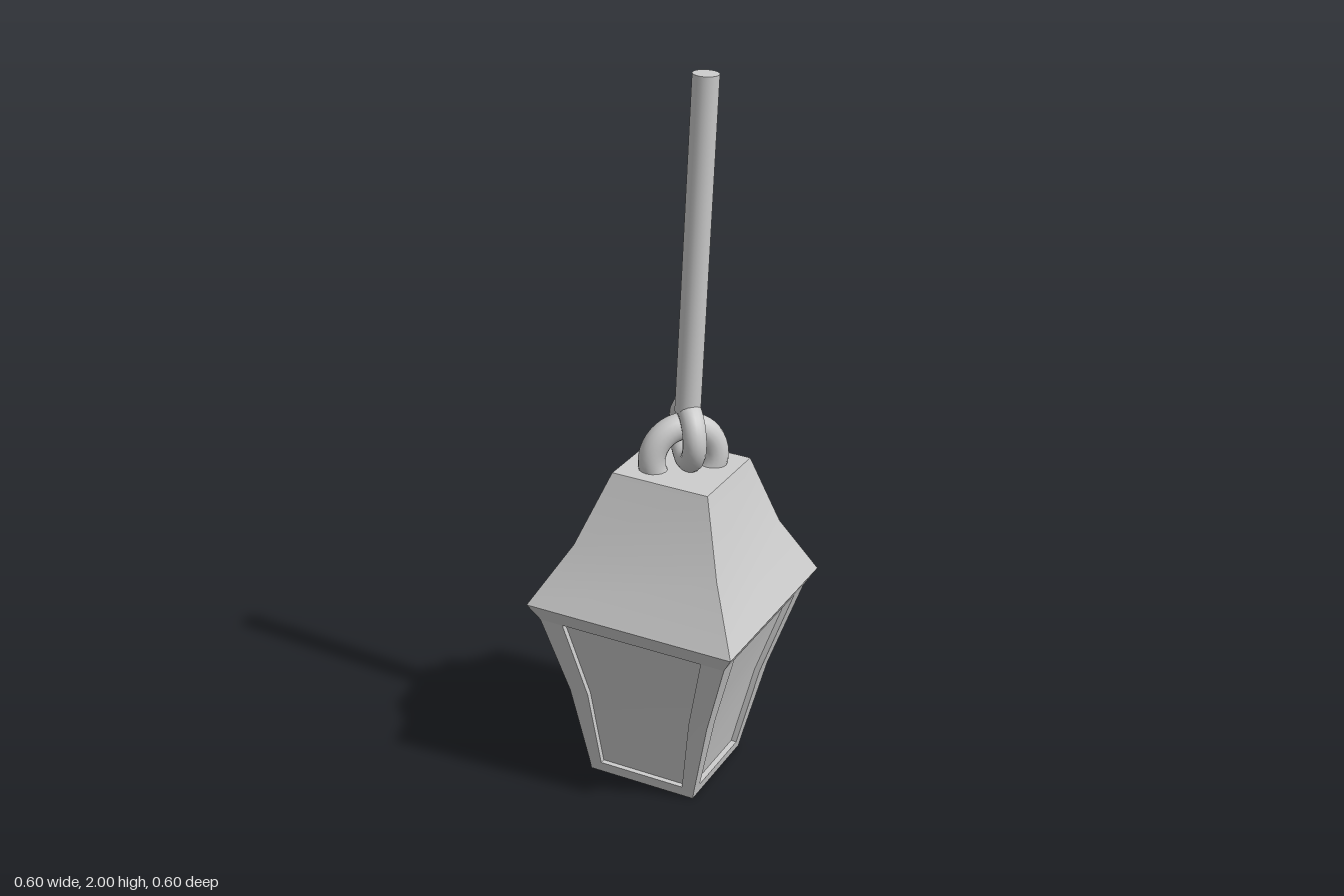
import * as THREE from 'three';
import { toCreasedNormals } from 'three/addons/utils/BufferGeometryUtils.js';

const material = new THREE.MeshStandardMaterial({ color: 0xcccccc });

function addMesh(parent, name, geometry) {
  const mesh = new THREE.Mesh(geometry, material);
  mesh.name = name;
  parent.add(mesh);
  return mesh;
}

// Quads given as four corners, counter-clockwise from outside, repeated on the four sides
function fourSided(quads, crease) {
  const positions = [];
  const p = new THREE.Vector3();
  const up = new THREE.Vector3(0, 1, 0);
  for (let side = 0; side < 4; side++) {
    for (const q of quads) {
      for (const i of [0, 1, 2, 0, 2, 3]) {
        p.set(...q[i]).applyAxisAngle(up, side * Math.PI / 2);
        positions.push(p.x, p.y, p.z);
      }
    }
  }
  const geometry = new THREE.BufferGeometry();
  geometry.setAttribute('position', new THREE.Float32BufferAttribute(positions, 3));
  return toCreasedNormals(geometry, crease);
}

// Square profile of [half width, height] pairs, bottom to top
function squareLoft(profile) {
  const quads = [];
  for (let i = 0; i < profile.length - 1; i++) {
    const [a, y0] = profile[i], [b, y1] = profile[i + 1];
    quads.push([[-a, y0, a], [a, y0, a], [b, y1, b], [-b, y1, b]]);
  }
  const [t, y] = profile[profile.length - 1];
  quads.push([[-t, y, t], [t, y, t], [0, y, 0], [0, y, 0]]);
  return fourSided(quads, 0.3);
}

// Corner posts, sill and recess walls; rows are [half width, panel half width, height]
function frameQuads(rows, depth) {
  const quads = [];
  const [w0] = [0.157];
  const [w1, p1, y1] = rows[0];
  quads.push([[-w0, 0, w0], [w0, 0, w0], [w1, y1, w1], [-w1, y1, w1]]);
  quads.push([[-p1, y1, w1], [p1, y1, w1], [p1, y1, w1 - depth], [-p1, y1, w1 - depth]]);
  quads.push([[-w0, 0, -w0], [w0, 0, -w0], [0, 0, 0], [0, 0, 0]]);
  for (let i = 0; i < rows.length - 1; i++) {
    const [a, pa, ya] = rows[i], [b, pb, yb] = rows[i + 1];
    const da = a - depth, db = b - depth;
    quads.push([[-a, ya, a], [-pa, ya, a], [-pb, yb, b], [-b, yb, b]]);
    quads.push([[pa, ya, a], [a, ya, a], [b, yb, b], [pb, yb, b]]);
    quads.push([[-pa, ya, a], [-pa, ya, da], [-pb, yb, db], [-pb, yb, b]]);
    quads.push([[pa, ya, da], [pa, ya, a], [pb, yb, b], [pb, yb, db]]);
  }
  const [w, p, y] = rows[rows.length - 1];
  quads.push([[-p, y, w - depth], [p, y, w - depth], [p, y, w], [-p, y, w]]);
  return quads;
}

function panelQuads(rows, depth) {
  return rows.slice(1).map(([b, pb, yb], i) => {
    const [a, pa, ya] = rows[i];
    return [[-pa, ya, a - depth], [pa, ya, a - depth], [pb, yb, b - depth], [-pb, yb, b - depth]];
  });
}

export function createModel() {
  const model = new THREE.Group();
  model.name = 'hangingLantern';

  // Lantern body, leaning slightly to one side
  const lantern = new THREE.Group();
  lantern.name = 'lantern';
  lantern.position.set(-0.028, 0.009, 0);
  lantern.rotation.z = -0.054;
  model.add(lantern);

  const rows = [[0.162, 0.125, 0.03], [0.207, 0.153, 0.265], [0.272, 0.205, 0.5]];
  const depth = 0.016;
  addMesh(lantern, 'frame', fourSided(frameQuads(rows, depth), 0.3));
  addMesh(lantern, 'windowPanels', fourSided(panelQuads(rows, depth), 0.3));

  // Flared roof with a bevelled eave
  addMesh(lantern, 'roof', squareLoft([[0.272, 0.5], [0.3, 0.55], [0.21, 0.715], [0.139, 0.917]]));

  // Two interlocked rings
  const roofRing = addMesh(model, 'roofRing', new THREE.TorusGeometry(0.09, 0.037, 16, 40));
  roofRing.position.set(0.026, 0.95, 0);
  roofRing.rotation.y = Math.PI / 4;

  const rodRing = addMesh(model, 'rodRing', new THREE.TorusGeometry(0.073, 0.032, 16, 40));
  rodRing.position.set(0.033, 1.015, -0.01);
  rodRing.rotation.y = -0.87;

  // Hanging rod
  const start = new THREE.Vector3(0.038, 1.085, 0);
  const end = new THREE.Vector3(0.086, 1.998, 0);
  const rod = addMesh(model, 'rod', new THREE.CylinderGeometry(0.035, 0.035, start.distanceTo(end), 24));
  rod.position.copy(start).lerp(end, 0.5);
  rod.rotation.z = -Math.atan2(end.x - start.x, end.y - start.y);

  return model;
}
